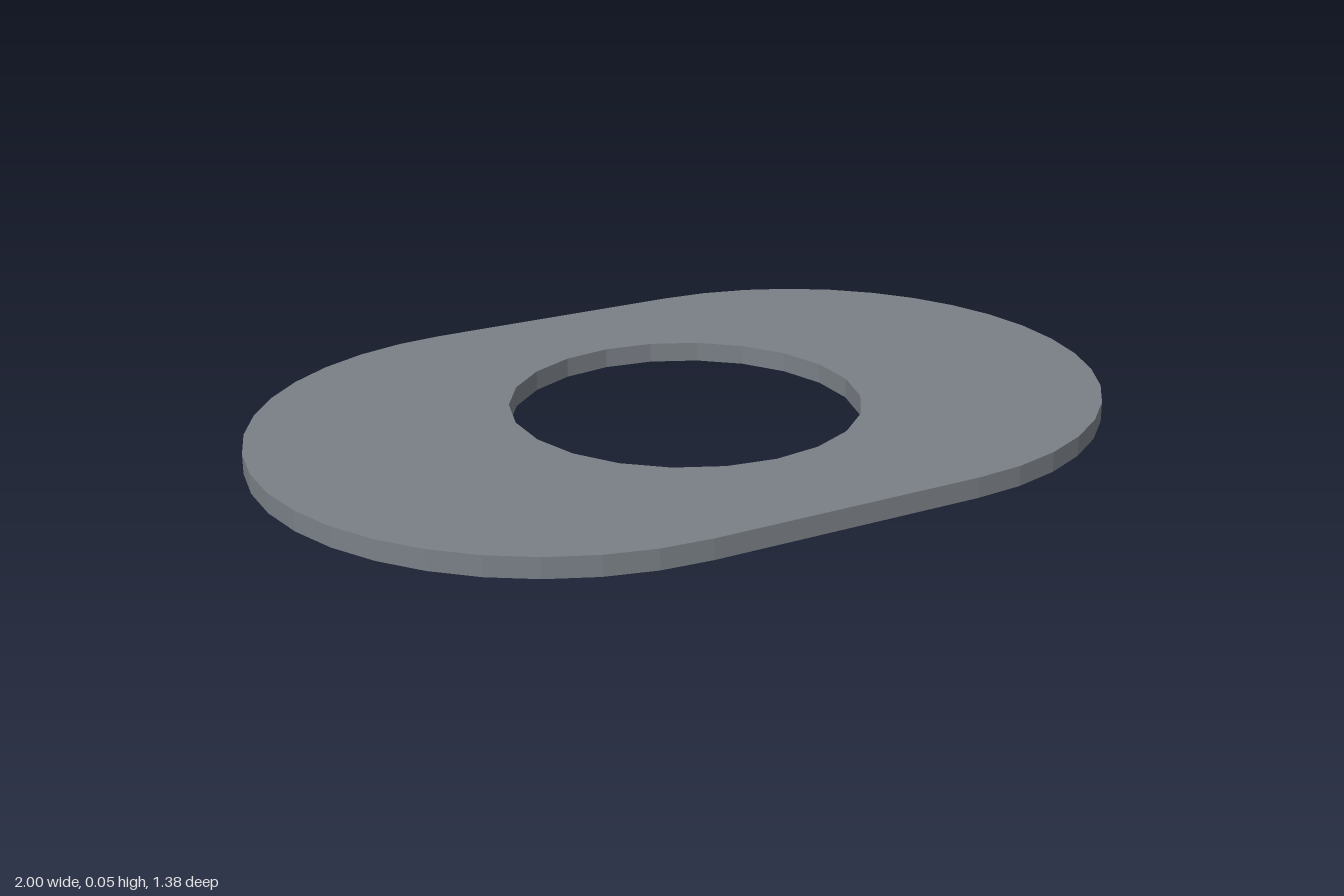
import * as THREE from 'three';

const END_RADIUS = 0.688, END_CENTRE = 0.314, END_SEGMENTS = 19;
const HOLE_RADIUS = 0.4, HOLE_SEGMENTS = 22;
const THICKNESS = 0.046;

// Points on an arc, starting at angle `start` and turning anticlockwise
function arc(cx, radius, start, sweep, segments, count) {
  return Array.from({ length: count }, (_, i) => {
    const a = start + (sweep * i) / segments;
    return new THREE.Vector2(cx + radius * Math.cos(a), radius * Math.sin(a));
  });
}

export function createModel() {
  const group = new THREE.Group();
  group.name = 'oblongWasher';

  // Outline: two faceted half circles joined by straight sides
  const outline = new THREE.Shape([
    ...arc(END_CENTRE, END_RADIUS, -Math.PI / 2, Math.PI, END_SEGMENTS, END_SEGMENTS + 1),
    ...arc(-END_CENTRE, END_RADIUS, Math.PI / 2, Math.PI, END_SEGMENTS, END_SEGMENTS + 1),
  ]);

  // Round central hole
  outline.holes.push(new THREE.Path(
    arc(0, HOLE_RADIUS, Math.PI / 2, Math.PI * 2, HOLE_SEGMENTS, HOLE_SEGMENTS)
  ));

  // Flat steel-grey plate, laid down on the floor
  const geometry = new THREE.ExtrudeGeometry(outline, { depth: THICKNESS, bevelEnabled: false });
  geometry.rotateX(-Math.PI / 2);
  const plate = new THREE.Mesh(
    geometry,
    new THREE.MeshStandardMaterial({ color: 0x7a8087, flatShading: true })
  );
  plate.name = 'plate';
  group.add(plate);
  return group;
}
